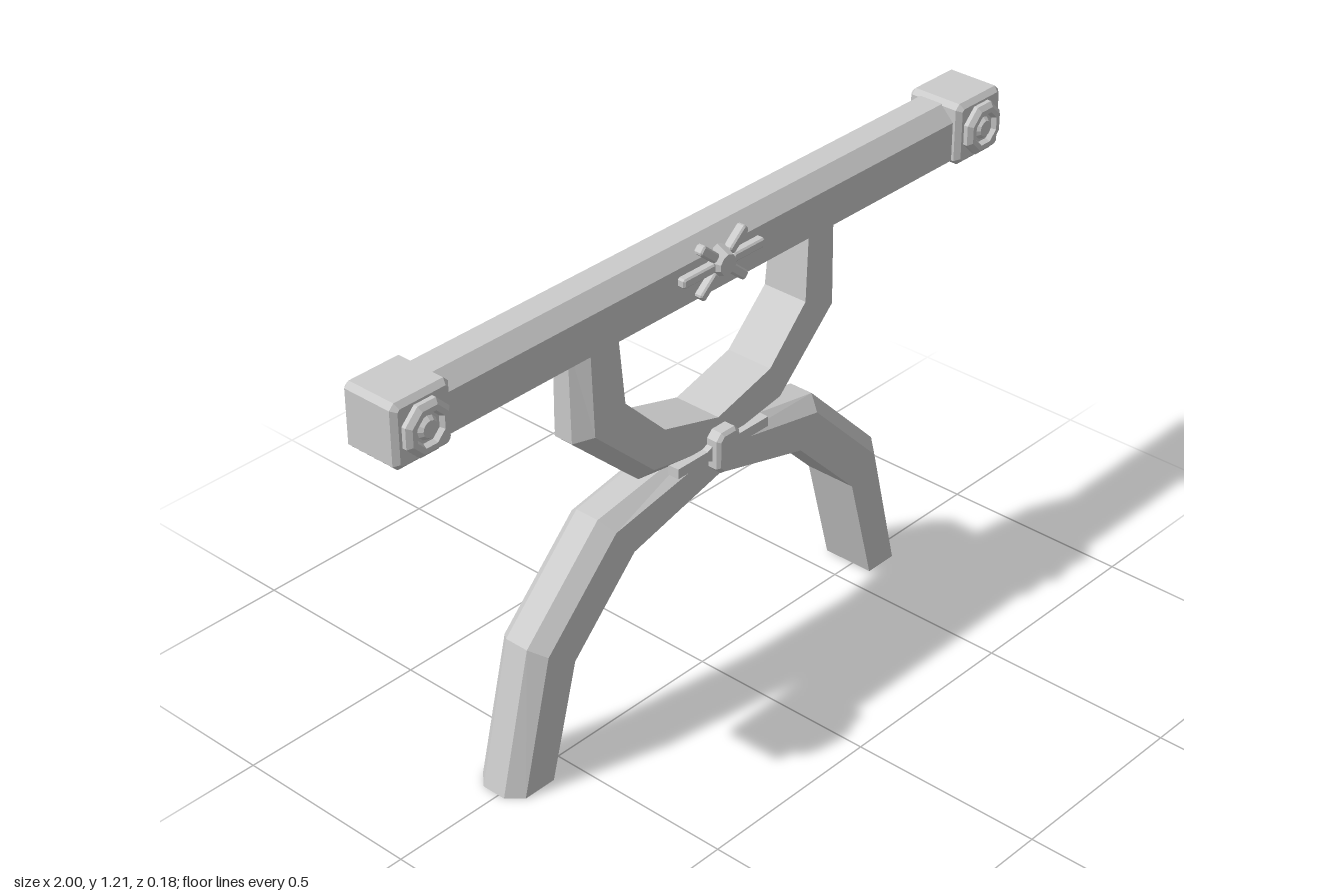
import * as THREE from 'three';

const material = new THREE.MeshStandardMaterial({ color: 0xcccccc, flatShading: true });

function add(parent, name, geometry, x = 0, y = 0, z = 0) {
  const mesh = new THREE.Mesh(geometry, material);
  mesh.name = name;
  mesh.position.set(x, y, z);
  parent.add(mesh);
  return mesh;
}

// Chamfered bar swept through stations: inner point, outer point, front z, back z
function sweptBar(stations) {
  const rings = stations.map(({ inner, outer, front = 0.055, back = -0.085 }) => {
    const ex = outer[0] + (inner[0] - outer[0]) * 0.27;
    const ey = outer[1] + (inner[1] - outer[1]) * 0.27;
    const f = front - 0.037, b = back + 0.037;
    return [
      [...inner, front], [ex, ey, front], [...outer, f],
      [...outer, b], [ex, ey, back], [...inner, back],
    ];
  });
  const pos = [];
  const tri = (...points) => points.forEach((p) => pos.push(...p));
  for (let i = 0; i < rings.length - 1; i++) {
    for (let j = 0; j < 6; j++) {
      const k = (j + 1) % 6;
      tri(rings[i][j], rings[i + 1][j], rings[i + 1][k]);
      tri(rings[i][j], rings[i + 1][k], rings[i][k]);
    }
  }
  const last = rings[rings.length - 1];
  for (let j = 1; j < 5; j++) {
    tri(rings[0][0], rings[0][j], rings[0][j + 1]);
    tri(last[0], last[j + 1], last[j]);
  }
  const geometry = new THREE.BufferGeometry();
  geometry.setAttribute('position', new THREE.Float32BufferAttribute(pos, 3));
  geometry.computeVertexNormals();
  return geometry;
}

// Completes a left-to-centre list of stations by mirroring it in x
function mirrored(half) {
  const flip = ([x, y]) => [-x, y];
  const other = half.slice(0, -1).reverse()
    .map((s) => ({ ...s, inner: flip(s.inner), outer: flip(s.outer) }));
  return [...half, ...other];
}

// Rectangle with cut corners, centred on the origin
function cutRect(w, h, c) {
  const x = w / 2, y = h / 2;
  return new THREE.Shape([
    [-x + c, -y], [x - c, -y], [x, -y + c], [x, y - c],
    [x - c, y], [-x + c, y], [-x, y - c], [-x, -y + c],
  ].map((p) => new THREE.Vector2(...p)));
}

// Bevelled solid with its back at z = 0
function bevelled(w, h, depth, corner, bevel) {
  return new THREE.ExtrudeGeometry(cutRect(w - 2 * bevel, h - 2 * bevel, corner), {
    depth: depth - 2 * bevel, bevelEnabled: true, bevelSize: bevel,
    bevelThickness: bevel, bevelSegments: 1,
  }).translate(0, 0, bevel);
}

export function createModel() {
  const model = new THREE.Group();
  model.name = 'stand';

  // Lower arch standing on two feet
  add(model, 'legArch', sweptBar(mirrored([
    { inner: [-0.57, 0], outer: [-0.695, 0] },
    { inner: [-0.49, 0.295], outer: [-0.605, 0.37] },
    { inner: [-0.29, 0.495], outer: [-0.37, 0.605] },
    { inner: [0, 0.57], outer: [0, 0.667] },
  ])));

  // Upper cradle, slightly thinner towards its tips
  add(model, 'upperCradle', sweptBar(mirrored([
    { inner: [-0.32, 1.09], outer: [-0.438, 1.09], front: 0.042, back: -0.072 },
    { inner: [-0.305, 0.895], outer: [-0.438, 0.835], front: 0.048, back: -0.078 },
    { inner: [-0.18, 0.77], outer: [-0.23, 0.645], front: 0.05, back: -0.08 },
    { inner: [0, 0.72], outer: [0, 0.615], front: 0.05, back: -0.08 },
  ]).reverse()));

  // Long beam with chamfered upper edges
  add(model, 'beam', sweptBar([-0.87, 0.87].map((x) => (
    { inner: [x, 1.062], outer: [x, 1.2], front: 0.05, back: -0.09 }))));

  // End caps with octagonal bolts
  for (const side of [-1, 1]) {
    const end = new THREE.Group();
    end.name = side > 0 ? 'leftEnd' : 'rightEnd';
    end.position.set(side * 0.918, 1.13, 0);
    model.add(end);
    add(end, 'endCap', bevelled(0.164, 0.16, 0.157, 0.006, 0.012), 0, 0, -0.088);

    const profile = [[0.067, 0], [0.067, 0.014], [0.055, 0.024], [0.042, 0.024], [0.036, 0.012], [0, 0.012]];
    const ring = new THREE.LatheGeometry(profile.map((p) => new THREE.Vector2(...p)), 8, Math.PI / 8);
    add(end, 'boltRing', ring.rotateX(Math.PI / 2), 0, 0, 0.066);
    const head = new THREE.CylinderGeometry(0.02, 0.03, 0.012, 12);
    add(end, 'boltHead', head.rotateX(Math.PI / 2), 0, 0, 0.082);
  }

  // Six-armed ornament in the middle of the beam
  const ornament = new THREE.Group();
  ornament.name = 'ornament';
  ornament.position.set(0, 1.13, 0.045);
  model.add(ornament);
  for (const degrees of [0, 40, 140, 180, 220, 320]) {
    const reach = degrees % 180 === 0 ? 0.135 : 0.097;
    const arm = bevelled(reach - 0.03, 0.024, 0.025, 0.002, 0.004);
    arm.translate((reach + 0.03) / 2, 0, 0).rotateZ(THREE.MathUtils.degToRad(degrees));
    add(ornament, 'ornamentArm', arm);
  }
  const stud = new THREE.CylinderGeometry(0.026, 0.042, 0.034, 10);
  add(ornament, 'ornamentStud', stud.rotateX(Math.PI / 2), 0, 0, 0.017);

  // Clasp joining arch and cradle
  const clasp = new THREE.Group();
  clasp.name = 'clasp';
  clasp.position.set(0, 0.645, 0.035);
  model.add(clasp);
  add(clasp, 'claspBlock', bevelled(0.078, 0.108, 0.052, 0.012, 0.008));
  for (const side of [-1, 1]) {
    const bar = new THREE.Shape([[0.03, -0.024], [0.055, -0.013], [0.155, -0.013],
      [0.155, 0.013], [0.055, 0.013], [0.03, 0.024]]
      .map(([x, y]) => new THREE.Vector2(x, y)));
    const geometry = new THREE.ExtrudeGeometry(bar, { depth: 0.032, bevelEnabled: false });
    if (side < 0) geometry.rotateZ(Math.PI);
    add(clasp, 'claspBar', geometry);
  }
  return model;
}
